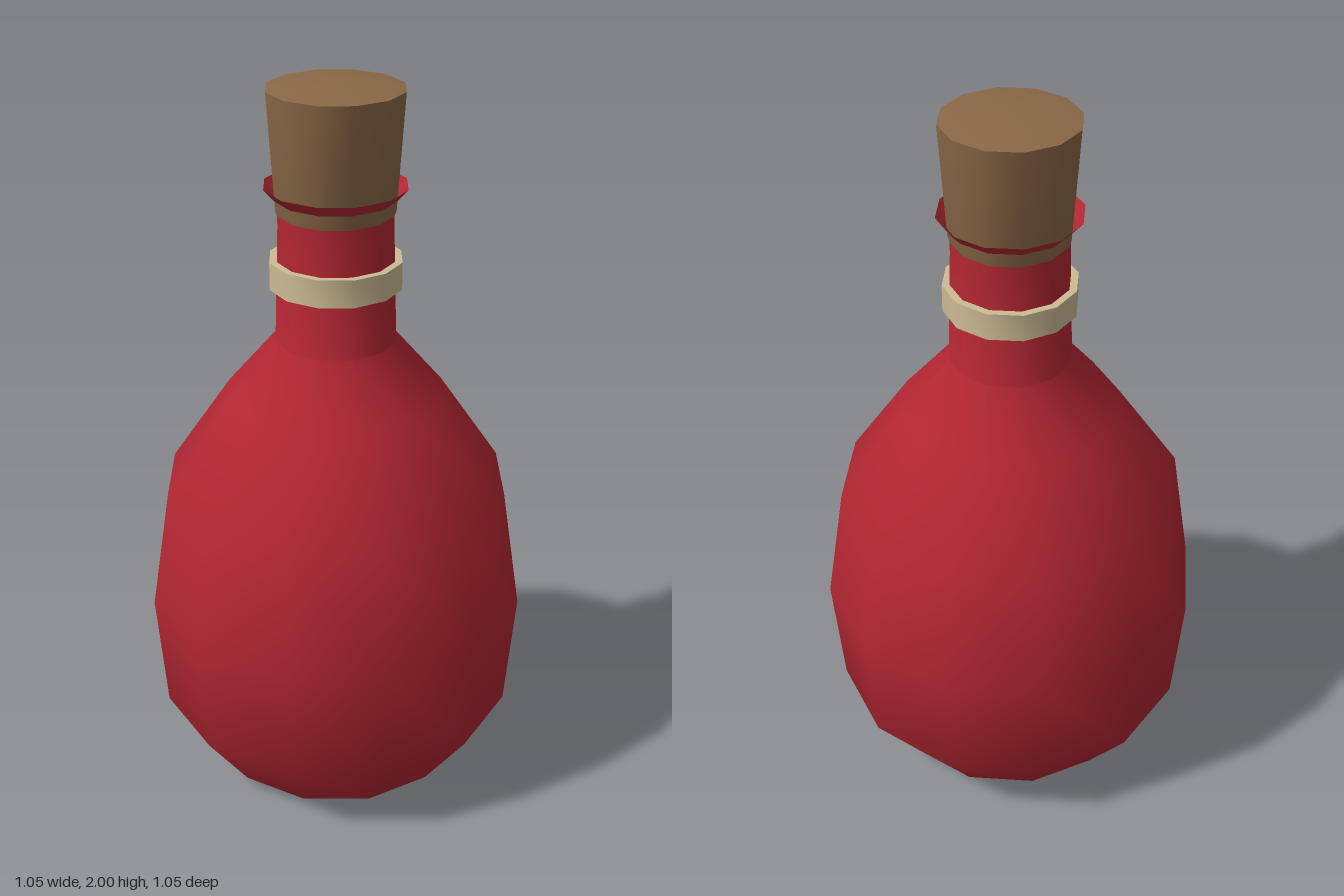
import * as THREE from 'three';
import { toCreasedNormals } from 'three/addons/utils/BufferGeometryUtils.js';

const SIDES = 12;

export function createModel() {
  const group = new THREE.Group();
  group.name = 'corkedBottle';

  const material = (name, color, side = THREE.FrontSide) => {
    const m = new THREE.MeshStandardMaterial({ color, side });
    m.name = name;
    return m;
  };
  const red = material('red glass', 0xb22632, THREE.DoubleSide);
  const brown = material('cork brown', 0x8a6846);
  const cream = material('cream band', 0xcdbb94);

  // Turn a [radius, height] profile, listed from bottom to top
  const turned = (name, profile, mat) => {
    const points = profile.map(([r, y]) => new THREE.Vector2(r, y));
    const geometry = toCreasedNormals(new THREE.LatheGeometry(points, SIDES), 0.8);
    const mesh = new THREE.Mesh(geometry, mat);
    mesh.name = name;
    group.add(mesh);
  };

  // Body, shoulder and neck, with a shallow cone underneath
  turned('bottle', [
    [0, 0], [0.36, 0.035], [0.498, 0.225], [0.525, 0.555], [0.472, 0.89],
    [0.3, 1.145], [0.165, 1.305], [0.155, 1.62], [0.154, 1.685],
  ], red);

  // Flared lip
  turned('lip', [[0.154, 1.685], [0.19, 1.725]], red);

  // Band around the neck
  turned('neckBand', [[0.15, 1.455], [0.178, 1.455], [0.178, 1.53], [0.15, 1.53]], cream);

  // Tapered cork, bulging slightly through the top of the neck
  turned('cork', [[0, 1.64], [0.15, 1.64], [0.16, 1.67], [0.18, 1.975], [0, 2]], brown);

  return group;
}
